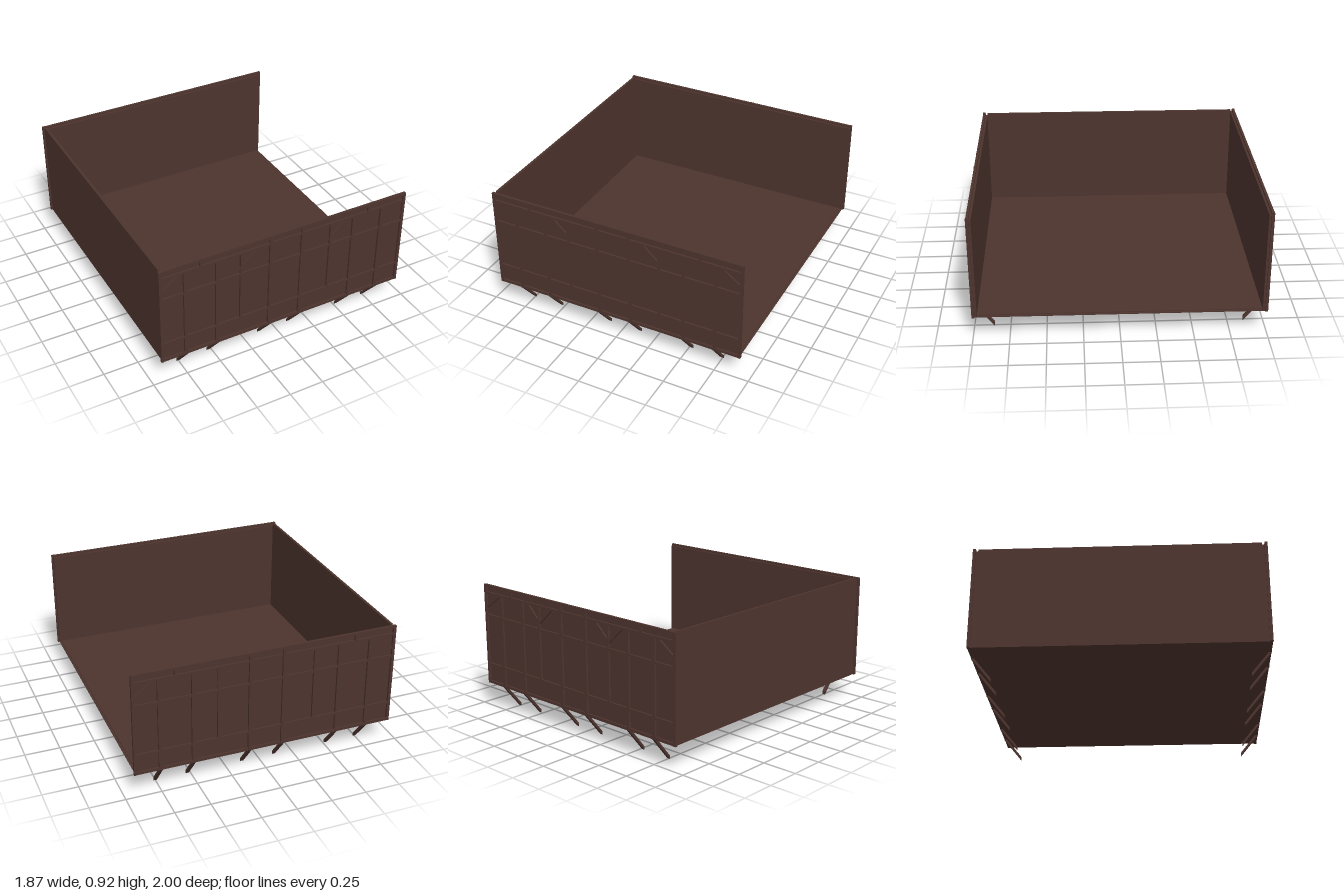
import * as THREE from 'three';

const wood = new THREE.MeshStandardMaterial({ color: 0x4e342e });
wood.name = 'dark brown wood';

// Box given by its minimum and maximum corners
function box(parent, name, x0, x1, y0, y1, z0, z1) {
  const mesh = new THREE.Mesh(new THREE.BoxGeometry(x1 - x0, y1 - y0, z1 - z0), wood);
  mesh.position.set((x0 + x1) / 2, (y0 + y1) / 2, (z0 + z1) / 2);
  mesh.name = name;
  parent.add(mesh);
  return mesh;
}

// Slanted timber between two points on the facade
function diagonal(parent, x0, y0, x1, y1) {
  const length = Math.hypot(x1 - x0, y1 - y0);
  const mesh = new THREE.Mesh(new THREE.BoxGeometry(length, 0.018, 0.016), wood);
  mesh.position.set((x0 + x1) / 2, (y0 + y1) / 2, 0.988);
  mesh.rotation.z = Math.atan2(y1 - y0, x1 - x0);
  mesh.name = 'diagonalBrace';
  parent.add(mesh);
}

// Timber-framed wall with slanted supports below
function facade(name) {
  const wall = new THREE.Group();
  wall.name = name;
  box(wall, 'wallPanel', -0.925, 0.925, 0.17, 0.9, 0.965, 0.985);

  // Horizontal rails: centre height, width
  for (const [y, w] of [[0.18, 0.02], [0.317, 0.018], [0.685, 0.018], [0.853, 0.016], [0.905, 0.02]]) {
    box(wall, 'rail', -0.93, 0.93, y - w / 2, y + w / 2, 0.98, 0.998);
  }

  // Vertical posts: centre, width, bottom, top
  const posts = [
    [-0.926, 0.02, 0.17, 0.915], [0.926, 0.02, 0.17, 0.915],
    [-0.752, 0.024, 0.17, 0.855], [0.747, 0.024, 0.17, 0.855],
    [-0.523, 0.02, 0.17, 0.855], [0.518, 0.02, 0.17, 0.855],
    [-0.122, 0.024, 0.17, 0.915], [0.117, 0.024, 0.17, 0.915],
    [-0.345, 0.016, 0.315, 0.855], [0.338, 0.016, 0.315, 0.855],
    [-0.64, 0.016, 0.853, 0.905], [0.635, 0.016, 0.853, 0.905],
  ];
  for (const [x, w, y0, y1] of posts) {
    box(wall, 'post', x - w / 2, x + w / 2, y0, y1, 0.98, 1);
  }

  // Fanned braces on the middle posts and corner braces at the ends
  for (const x of [-0.345, 0.338]) {
    for (const s of [-1, 1]) diagonal(wall, x, 0.732, x + s * 0.125, 0.85);
  }
  for (const s of [-1, 1]) diagonal(wall, s * 0.92, 0.747, s * 0.775, 0.85);

  // Slanted supports under the overhang
  const profile = new THREE.Shape([[1, 0.17], [0.98, 0.172], [0.862, 0.025], [0.862, 0]]
    .map(([z, y]) => new THREE.Vector2(z, y)));
  const support = new THREE.ExtrudeGeometry(profile, { depth: 0.024, bevelEnabled: false });
  support.translate(0, 0, -0.012);
  support.rotateY(-Math.PI / 2);
  for (const x of [-0.752, -0.523, -0.122, 0.117, 0.518, 0.747]) {
    const mesh = new THREE.Mesh(support, wood);
    mesh.position.x = x;
    mesh.name = 'slantedSupport';
    wall.add(mesh);
  }
  return wall;
}

export function createModel() {
  const model = new THREE.Group();
  model.name = 'timberFramedStorey';

  // Floor with a narrow stepped rim
  box(model, 'floorSlab', -0.925, 0.925, 0.17, 0.176, -0.966, 0.966);
  box(model, 'floorTop', -0.91, 0.91, 0.174, 0.182, -0.966, 0.966);

  // Plain side wall; the opposite side stays open
  box(model, 'sideWall', -0.925, -0.907, 0.17, 0.915, -0.965, 0.965);

  // Matching timbered walls at front and back
  model.add(facade('frontWall'));
  const back = facade('backWall');
  back.rotation.y = Math.PI;
  model.add(back);

  return model;
}
